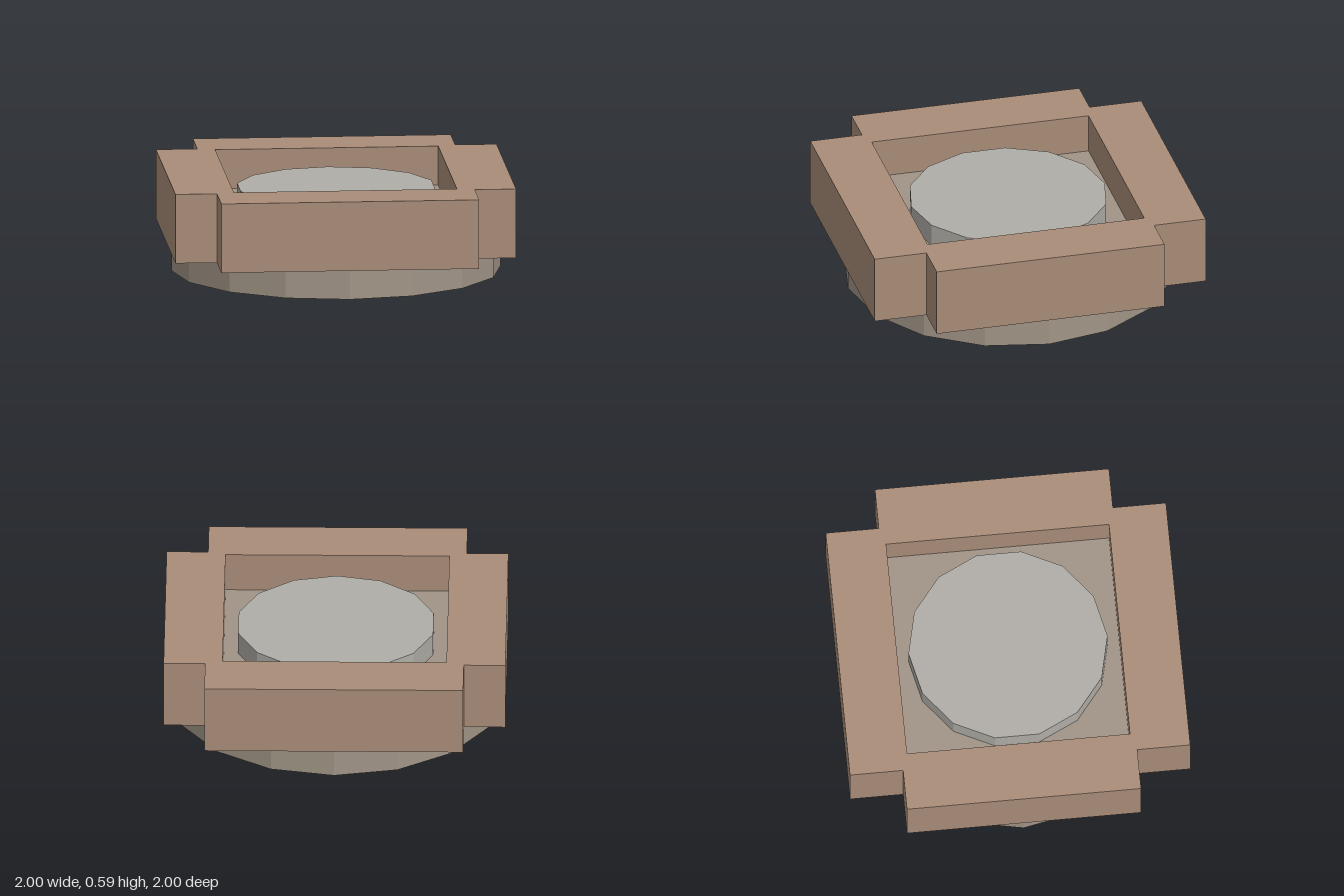
import * as THREE from 'three';

const material = (color) => new THREE.MeshStandardMaterial({ color, flatShading: true });

function addDisc(group, name, radius, sides, bottom, top, color) {
  const geometry = new THREE.CylinderGeometry(radius, radius, top - bottom, sides);
  const mesh = new THREE.Mesh(geometry, material(color));
  mesh.name = name;
  mesh.position.y = (bottom + top) / 2;
  group.add(mesh);
}

export function createModel() {
  const group = new THREE.Group();
  group.name = 'framedDisc';

  // Square frame with notched corners and a square opening
  const ex = 0.757, ez = 0.688, hole = 0.655, bottom = 0.177, top = 0.588;
  const outline = [
    [-ex, -1], [ex, -1], [ex, -ez], [1, -ez], [1, ez], [ex, ez],
    [ex, 1], [-ex, 1], [-ex, ez], [-1, ez], [-1, -ez], [-ex, -ez],
  ];
  const opening = [[-hole, -hole], [-hole, hole], [hole, hole], [hole, -hole]];
  const toPoints = (list) => list.map(([x, y]) => new THREE.Vector2(x, y));
  const shape = new THREE.Shape(toPoints(outline));
  shape.holes.push(new THREE.Path(toPoints(opening)));
  const geometry = new THREE.ExtrudeGeometry(shape, { depth: top - bottom, bevelEnabled: false });
  geometry.rotateX(-Math.PI / 2);
  const frame = new THREE.Mesh(geometry, material(0xa88c78));
  frame.name = 'frame';
  frame.position.y = bottom;
  group.add(frame);

  // Round base, whose top is the floor of the opening
  addDisc(group, 'base', 0.967, 16, 0, 0.355, 0xa09486);

  // Raised disc in the middle of the opening
  addDisc(group, 'centreDisc', 0.585, 14, 0.355, 0.49, 0xb0ada7);

  return group;
}
